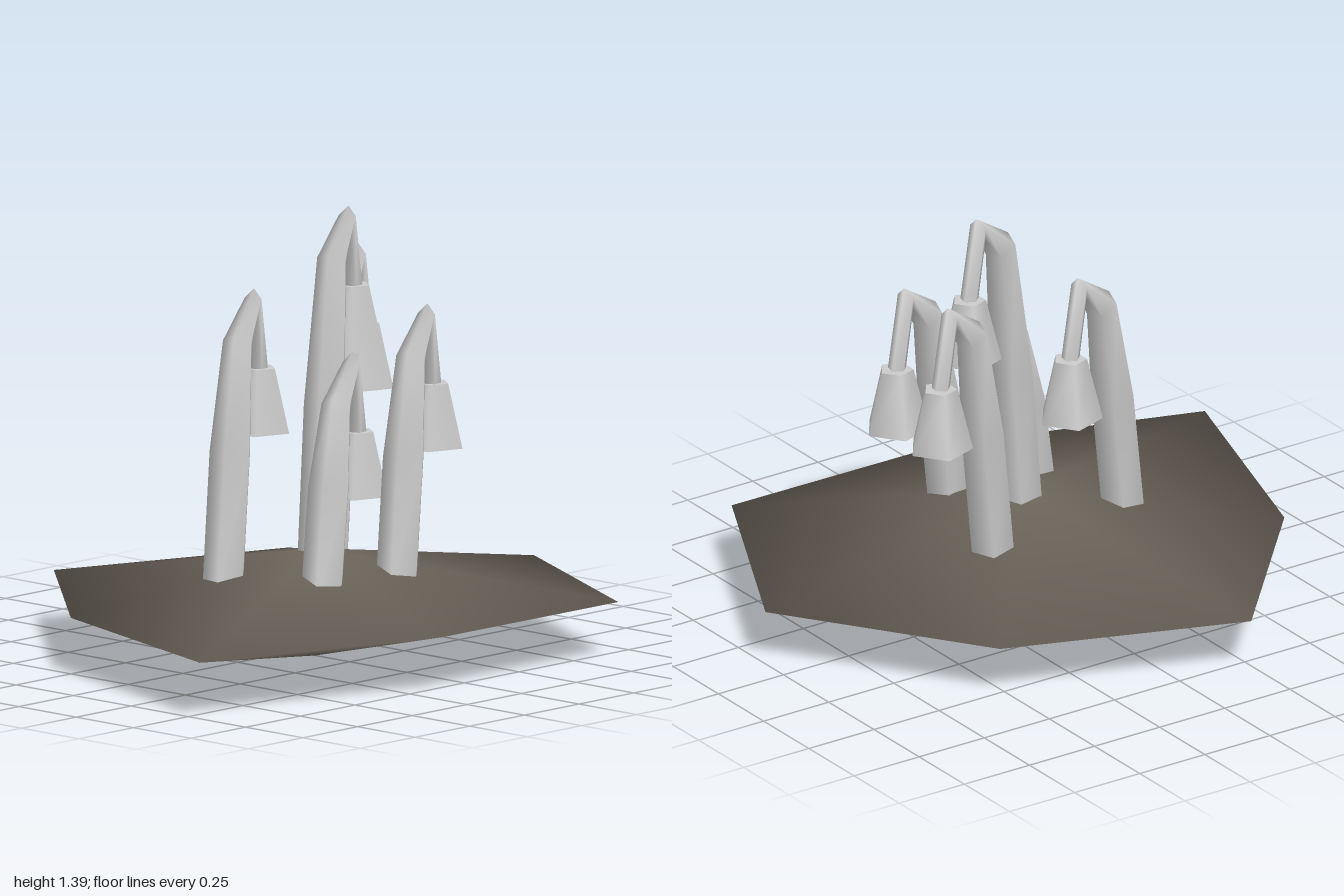
import * as THREE from 'three';

const LEAN = THREE.MathUtils.degToRad(24); // heading in which the stems droop
const SIDES = 5;

// Smooth tube in the XY plane; each ring is [x, y, in-plane radius, sideways radius]
function taperedTube(rings) {
  const pos = [], index = [];
  const pts = rings.map(([x, y]) => new THREE.Vector2(x, y));
  rings.forEach(([x, y, ru, rv], i) => {
    const t = new THREE.Vector2();
    if (i > 0) t.add(pts[i].clone().sub(pts[i - 1]).normalize());
    if (i < pts.length - 1) t.add(pts[i + 1].clone().sub(pts[i]).normalize());
    t.normalize();
    for (let j = 0; j < SIDES; j++) {
      const a = (j / SIDES) * Math.PI * 2;
      const u = Math.cos(a) * ru;
      pos.push(x - t.y * u, y + t.x * u, Math.sin(a) * rv);
      if (i < rings.length - 1) {
        const p = i * SIDES + j, q = i * SIDES + ((j + 1) % SIDES);
        index.push(p, q, q + SIDES, p, q + SIDES, p + SIDES);
      }
    }
  });
  return smoothGeometry(pos, index);
}

function smoothGeometry(pos, index) {
  const g = new THREE.BufferGeometry();
  g.setAttribute('position', new THREE.Float32BufferAttribute(pos, 3));
  g.setIndex(index);
  g.computeVertexNormals();
  return g;
}

// Seven-sided double cone with an irregular rim
function moundGeometry() {
  const rim = [[-0.22, -0.83], [0.55, -0.55], [1, 0.1], [0.63, 0.82], [-0.18, 0.815], [-1, 0.55], [-0.75, -0.25]];
  const pos = [0, 0.345, 0.1, 0, 0, 0.1], index = [];
  rim.forEach(([x, z], i) => {
    pos.push(x, 0.18, z);
    const cur = 2 + i, next = 2 + ((i + 1) % rim.length);
    index.push(0, next, cur, 1, cur, next);
  });
  return smoothGeometry(pos, index);
}

export function createModel() {
  const model = new THREE.Group();
  model.name = 'droopingBellFlowers';

  const soil = new THREE.MeshStandardMaterial({ color: 0x70685e });
  soil.name = 'soil';
  const pale = new THREE.MeshStandardMaterial({ color: 0xcccccc });
  pale.name = 'paleGrey';

  const mound = new THREE.Mesh(moundGeometry(), soil);
  mound.name = 'mound';
  model.add(mound);

  // Flowers: base x, base z, height of the bend at the top
  const flowers = [
    [-0.285, -0.02, 1.155], [0.255, -0.08, 1.215], [0.02, 0.1, 1.395],
    [-0.16, 0.29, 0.975], [0.135, 0.335, 1.095],
  ];
  const bellGeometry = new THREE.CylinderGeometry(0.055, 0.105, 0.205, SIDES);

  flowers.forEach(([x, z, top]) => {
    const flower = new THREE.Group();
    flower.name = 'flower';
    flower.position.set(x, 0, z);
    flower.rotation.y = LEAN;

    const kink = top - 0.15;
    const stem = new THREE.Mesh(taperedTube([
      [-0.01, 0.22, 0.07, 0.07],
      [0.06, 0.3 + (kink - 0.3) * 0.52, 0.07, 0.07],
      [0.125, kink, 0.055, 0.05],
      [0.255, top - 0.045, 0.047, 0.03],
      [0.317, top - 0.29, 0.03, 0.03],
    ]), pale);
    stem.name = 'stem';

    const bell = new THREE.Mesh(bellGeometry, pale);
    bell.name = 'bell';
    bell.position.set(0.317, top - 0.365, 0);
    bell.rotation.y = Math.PI / 2 - LEAN;

    flower.add(stem, bell);
    model.add(flower);
  });

  return model;
}
